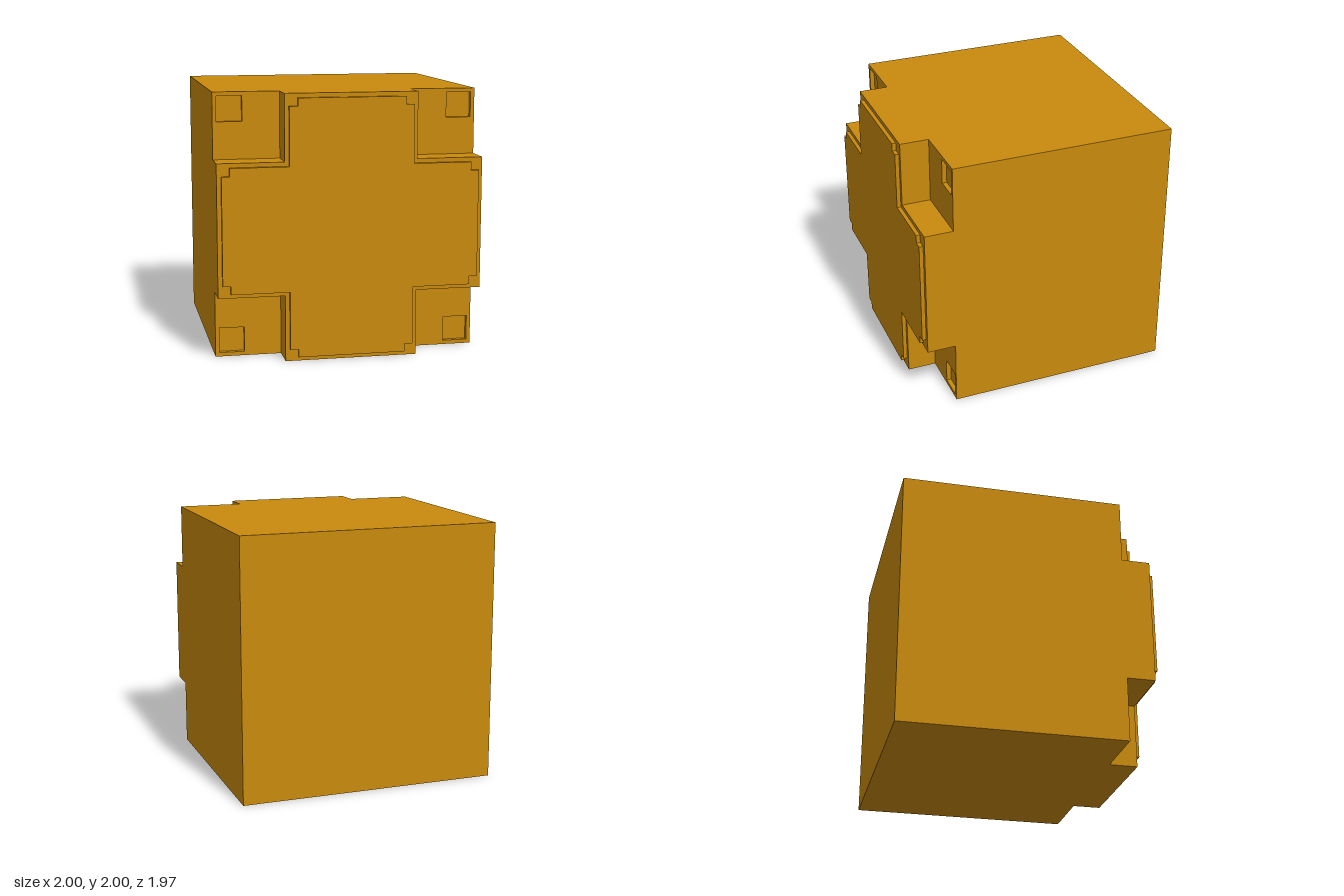
import * as THREE from 'three';

const BACK = -0.985, POCKET = 0.7, NOTCH = 0.735, FACE = 0.955, FRONT = 0.985;

// Mirrors one quadrant's corner points into a closed four-way symmetric outline
function mirroredOutline(quadrant) {
  const rev = [...quadrant].reverse();
  return [
    ...quadrant,
    ...rev.map(([x, y]) => [-x, y]),
    ...quadrant.map(([x, y]) => [-x, -y]),
    ...rev.map(([x, y]) => [x, -y]),
  ].map(([x, y]) => new THREE.Vector2(x, y));
}

export function createModel() {
  const group = new THREE.Group();
  const amber = new THREE.MeshStandardMaterial({ color: 0xc98a0d });
  amber.name = 'amber';

  const add = (name, geometry, z) => {
    const mesh = new THREE.Mesh(geometry, amber);
    mesh.name = name;
    mesh.position.set(0, 1, z);
    group.add(mesh);
  };
  const slab = (name, shape, z0, z1) =>
    add(name, new THREE.ExtrudeGeometry(shape, { depth: z1 - z0, bevelEnabled: false }), z0);

  // Solid block behind the pocket floors
  add('body', new THREE.BoxGeometry(2, 2, POCKET - BACK), (POCKET + BACK) / 2);

  // Corner layer with a shallow square pocket at each corner
  const square = new THREE.Shape(mirroredOutline([[1, 1]]));
  const a = 0.78, b = 0.97;
  for (const sx of [-1, 1]) for (const sy of [-1, 1]) {
    const corners = [[a, a], [b, a], [b, b], [a, b]];
    square.holes.push(new THREE.Path(corners.map(([x, y]) => new THREE.Vector2(sx * x, sy * y))));
  }
  slab('cornerPocketLayer', square, POCKET, NOTCH);

  // Raised cross left between the four corner notches
  const cross = new THREE.Shape(mirroredOutline([[1, 0.5], [0.5, 0.5], [0.5, 1]]));
  slab('frontCross', cross, NOTCH, FACE);

  // Thin front panel with stepped arm ends
  const panel = new THREE.Shape(mirroredOutline([
    [0.967, 0.405], [0.907, 0.405], [0.907, 0.468], [0.468, 0.468],
    [0.468, 0.907], [0.405, 0.907], [0.405, 0.967],
  ]));
  slab('frontPanel', panel, FACE, FRONT);

  return group;
}
